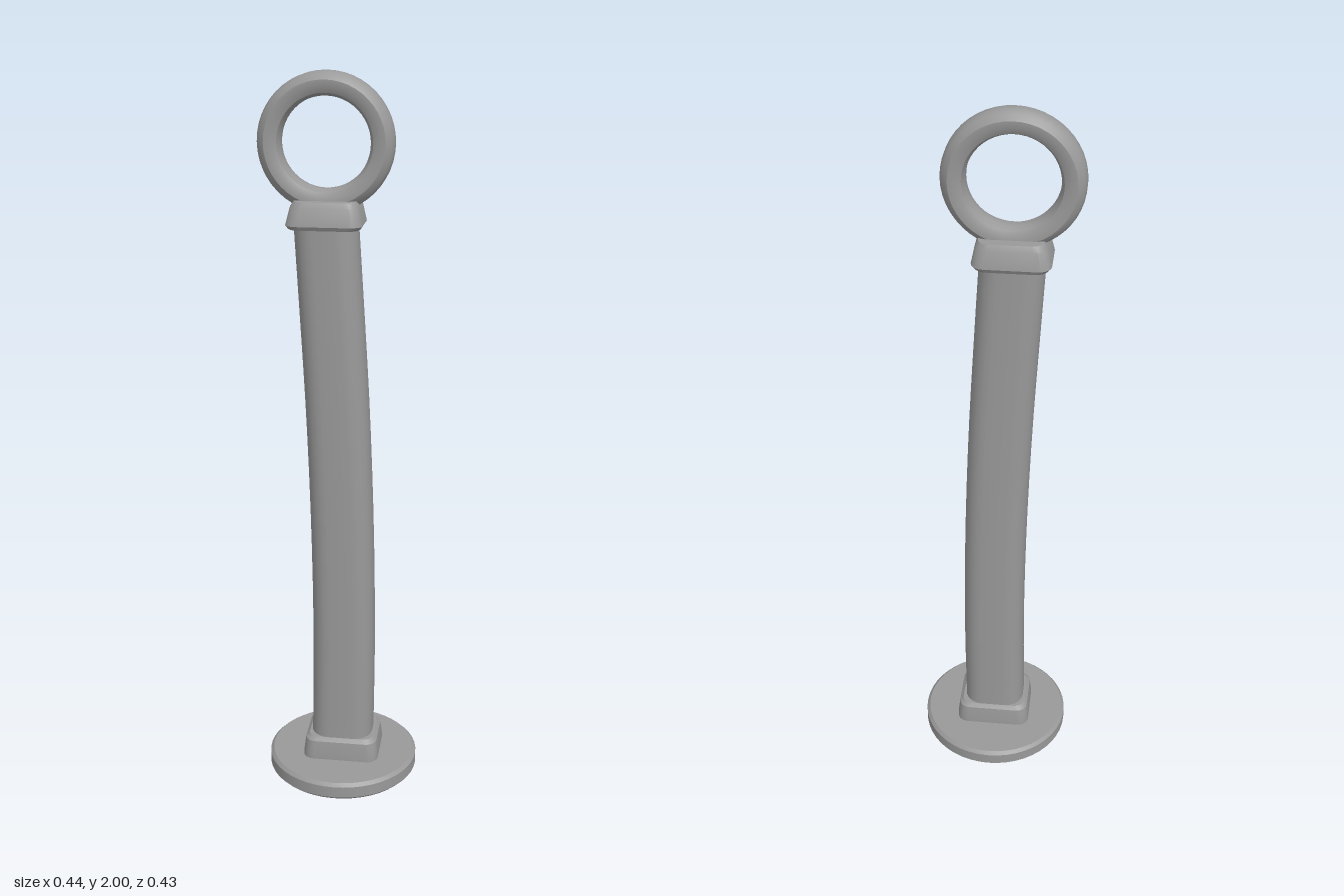
import * as THREE from 'three';
import { mergeVertices, toCreasedNormals } from 'three/addons/utils/BufferGeometryUtils.js';

// Outline of a rounded rectangle in the xz plane, centred on cx
function outline({ y, cx, w, d, r }, steps = 5) {
  const pts = [];
  const corners = [[1, 1], [-1, 1], [-1, -1], [1, -1]];
  corners.forEach(([sx, sz], q) => {
    for (let i = 0; i <= steps; i++) {
      const a = (q + i / steps) * Math.PI / 2;
      pts.push([cx + sx * (w - r) + r * Math.cos(a), y, sz * (d - r) + r * Math.sin(a)]);
    }
  });
  return pts;
}

// Skin through rounded-rectangle sections from bottom to top, capped at both ends
function loft(sections, crease = 0.5) {
  const rings = sections.map((s) => outline(s));
  const n = rings[0].length;
  const pos = rings.flat(2);
  const index = [];
  for (let k = 0; k < rings.length - 1; k++) {
    for (let i = 0; i < n; i++) {
      const a = k * n + i, b = k * n + (i + 1) % n;
      index.push(a, a + n, b, b, a + n, b + n);
    }
  }
  const top = (rings.length - 1) * n;
  for (let i = 1; i < n - 1; i++) {
    index.push(0, i, i + 1);
    index.push(top, top + i + 1, top + i);
  }
  const g = new THREE.BufferGeometry();
  g.setAttribute('position', new THREE.Float32BufferAttribute(pos, 3));
  g.setIndex(index);
  return toCreasedNormals(g, crease);
}

// Solid of revolution with crisp edges
function turned(points, segments) {
  const g = new THREE.LatheGeometry(points.map(([r, y]) => new THREE.Vector2(r, y)), segments);
  g.deleteAttribute('normal');
  g.deleteAttribute('uv');
  return toCreasedNormals(mergeVertices(g), 0.6);
}

export function createModel() {
  const group = new THREE.Group();
  const metal = new THREE.MeshStandardMaterial({ color: 0x999999 });
  metal.name = 'grey metal';
  const add = (name, geometry) => {
    const mesh = new THREE.Mesh(geometry, metal);
    mesh.name = name;
    group.add(mesh);
    return mesh;
  };

  // Round foot with slightly bevelled rims
  add('baseDisc', turned([
    [0, 0], [0.207, 0], [0.216, 0.009], [0.216, 0.042], [0.207, 0.051], [0, 0.051],
  ], 48)).position.x = 0.003;

  // Square collar at the foot
  add('lowerCollar', loft([
    { y: 0.045, cx: 0.004, w: 0.109, d: 0.09, r: 0.032 },
    { y: 0.065, cx: 0.004, w: 0.109, d: 0.09, r: 0.032 },
    { y: 0.106, cx: 0.004, w: 0.104, d: 0.084, r: 0.032 },
    { y: 0.117, cx: 0.004, w: 0.094, d: 0.075, r: 0.03 },
  ]));

  // Gently bowed shaft with well rounded edges
  const bow = new THREE.CatmullRomCurve3([
    [0.003, 0.1], [0.006, 0.4], [0.001, 0.75], [-0.012, 1.1], [-0.029, 1.4], [-0.043, 1.63],
  ].map(([x, y]) => new THREE.Vector3(x, y, 0)));
  const shaft = [];
  for (let i = 0; i <= 16; i++) {
    const t = i / 16, p = bow.getPoint(t);
    shaft.push({ y: p.y, cx: p.x, w: 0.088 - 0.004 * t, d: 0.075 - 0.004 * t, r: 0.054 });
  }
  add('shaft', loft(shaft));

  // Square collar below the ring
  add('upperCollar', loft([
    { y: 1.605, cx: -0.042, w: 0.094, d: 0.076, r: 0.034 },
    { y: 1.615, cx: -0.042, w: 0.101, d: 0.081, r: 0.034 },
    { y: 1.662, cx: -0.041, w: 0.09, d: 0.074, r: 0.032 },
    { y: 1.676, cx: -0.04, w: 0.082, d: 0.066, r: 0.03 },
  ]));

  // Upright ring with a rounded section
  const ring = add('ring', turned([
    [0.117, -0.012], [0.125, -0.03], [0.141, -0.038], [0.158, -0.038], [0.172, -0.028], [0.179, -0.011],
    [0.179, 0.011], [0.172, 0.028], [0.158, 0.038], [0.141, 0.038], [0.125, 0.03], [0.117, 0.012],
    [0.117, -0.012],
  ], 48));
  ring.rotation.x = Math.PI / 2;
  ring.position.set(-0.042, 1.821, 0);

  return group;
}
